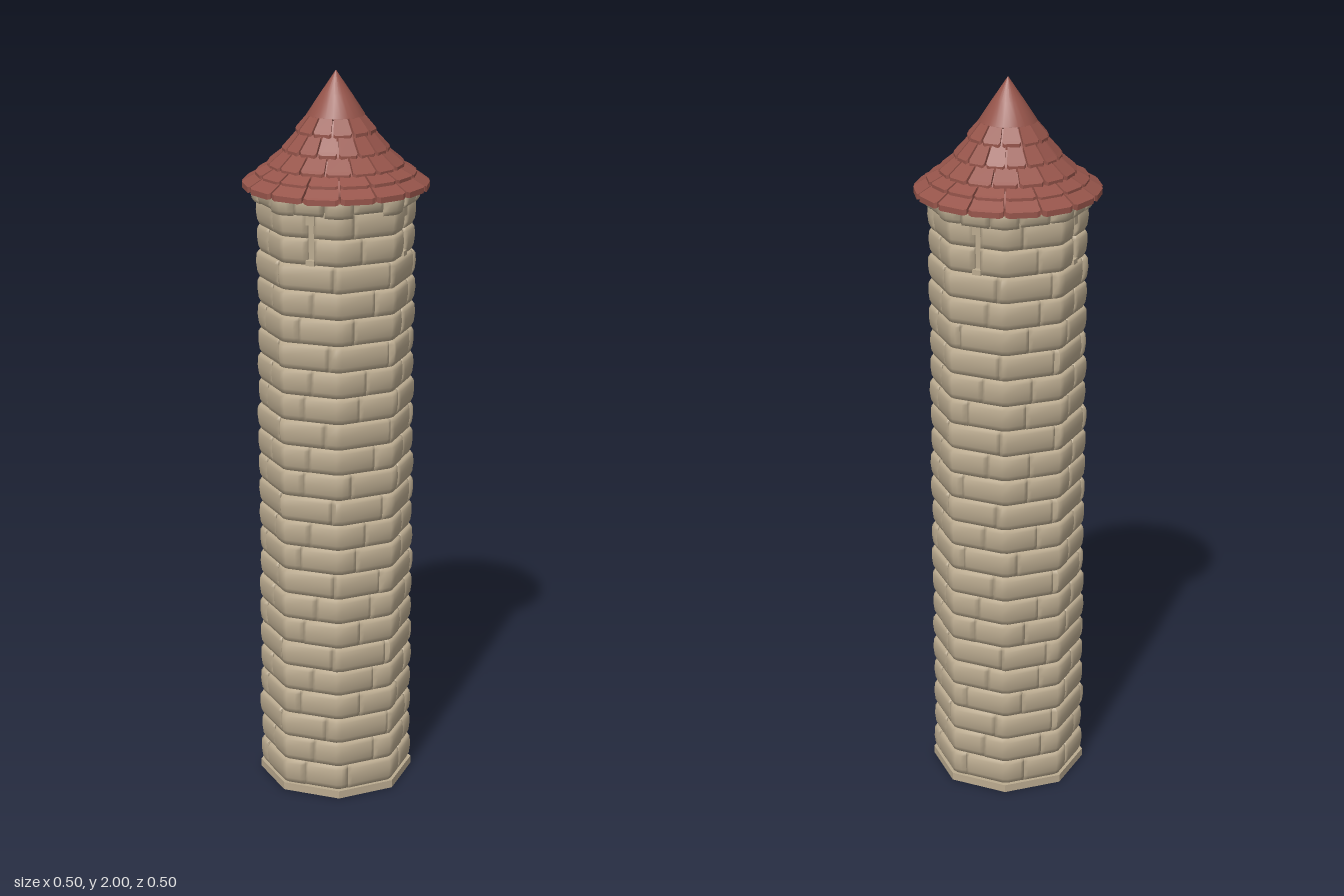
import * as THREE from 'three';
import { mergeGeometries } from 'three/addons/utils/BufferGeometryUtils.js';

const stone = new THREE.MeshStandardMaterial({ color: 0xbbab90 });
stone.name = 'sandstone';
const tile = new THREE.MeshStandardMaterial({ color: 0x97554b });
tile.name = 'red clay tile';

let seed = 7;
const rand = () => ((seed = (seed * 16807) % 2147483647) / 2147483647);
const jitter = (a) => (rand() * 2 - 1) * a;

// Point on an octagon: whole values of s are corners, flats face the axes
function octagon(s, apothem) {
  const k = Math.floor(s), t = s - k, R = apothem / Math.cos(Math.PI / 8);
  const a = (k + 0.5) * Math.PI / 4, b = a + Math.PI / 4;
  return [
    R * (Math.sin(a) * (1 - t) + Math.sin(b) * t),
    R * (Math.cos(a) * (1 - t) + Math.cos(b) * t),
  ];
}

// One bulging stone wrapped along the octagon from s0 to s1
function stoneBlock(s0, s1, y0, y1, apothem, depth) {
  const e = 0.07, h = y1 - y0, soft = 0.007;
  const cols = [[s0, depth], [s0, soft], [s0 + e, 0]];
  for (let c = Math.ceil(s0 + e + 0.01); c < s1 - e - 0.01; c++) {
    // a soft corner: two points beside the true corner
    if (c - 0.05 > s0 + e) cols.push([c - 0.05, 0]);
    if (c + 0.05 < s1 - e) cols.push([c + 0.05, 0]);
  }
  cols.push([s1 - e, 0], [s1, soft], [s1, depth]);
  const rows = [[0, depth], [0.01, soft + 0.003], [0.22, 0.003], [0.55, 0], [0.86, 0.001], [0.99, soft], [1, depth]];
  const pos = [], index = [], n = rows.length;
  const sag = jitter(0.003);
  cols.forEach(([s, iu], i) => {
    rows.forEach(([v, iv], j) => {
      const [x, z] = octagon(s, apothem - Math.max(iu, iv));
      const tilt = sag * Math.sin(Math.PI * v) * (i / (cols.length - 1) - 0.5);
      pos.push(x, y0 + h * v + tilt, z);
      if (i < cols.length - 1 && j < n - 1) {
        const a = i * n + j, b = a + n;
        index.push(a, b, b + 1, a, b + 1, a + 1);
      }
    });
  });
  const g = new THREE.BufferGeometry();
  g.setAttribute('position', new THREE.Float32BufferAttribute(pos, 3));
  g.setIndex(index);
  g.computeVertexNormals();
  return g;
}

// Flat-sided octagonal drum
function drum(apothem, y0, y1) {
  let g = new THREE.CylinderGeometry(1, 1, y1 - y0, 8, 1, false, Math.PI / 8);
  g.scale(apothem / Math.cos(Math.PI / 8), 1, apothem / Math.cos(Math.PI / 8));
  g.translate(0, (y0 + y1) / 2, 0);
  g = g.toNonIndexed();
  g.computeVertexNormals();
  return g;
}

// Flat roof tile: a box bent into a tapered slab, with its lower corners clipped
function roofTile(angle, n, [r0, y0], [r1, y1]) {
  let g = new THREE.BoxGeometry(1, 1, 1, 3, 1, 2);
  const p = g.attributes.position, lift = 0.007 + rand() * 0.003, thick = 0.015;
  for (let i = 0; i < p.count; i++) {
    const z = p.getZ(i), side = Math.sign(p.getX(i)), end = Math.abs(p.getX(i)) > 0.4;
    // t runs from the upper edge (0) to the lower edge (1)
    let t = z < -0.1 ? -0.12 : z > 0.1 ? 1 : 0.8;
    if (z > 0.1 && end) t = 0.86;
    const r = r1 + (r0 - r1) * t;
    const half = r * Math.tan(Math.PI / n) - 0.0028;
    const x = side * half * (end ? 1 : 0.78);
    const top = p.getY(i) > 0 ? 0 : -thick;
    p.setXYZ(i, x, y1 + (y0 - y1) * t + lift * Math.max(t, 0) + top, r);
  }
  g.rotateY(angle);
  g = g.toNonIndexed();
  g.computeVertexNormals();
  return g;
}

export function createModel() {
  const tower = new THREE.Group();
  tower.name = 'tower';
  const add = (name, geometry, material) => {
    const m = new THREE.Mesh(geometry, material);
    m.name = name;
    tower.add(m);
    return m;
  };

  // Core behind the joints, and the footing
  add('core', drum(0.18, 0.01, 1.7), stone);
  add('footing', drum(0.198, 0, 0.022), stone);

  // Stone courses; the top two leave an arrow slit on each axis face
  const courses = 23, base = 0.022, pitch = (1.662 - base) / courses;
  const blocks = [];
  for (let row = 0; row < courses; row++) {
    const y0 = base + row * pitch, y1 = y0 + pitch;
    const put = (a, b) => blocks.push(stoneBlock(a, b, y0, y1, 0.1985 + jitter(0.0018), 0.022));
    if (row >= courses - 2) {
      for (let k = 1; k < 9; k += 2) {
        const a = k + 0.56, b = k + 2.44, m = (a + b) / 2 + jitter(0.3);
        put(a, m);
        put(m, b);
      }
    } else {
      const cuts = [];
      for (let k = 0; k < 8; k++) cuts.push(k + 0.3 + 0.27 * (row % 3) + jitter(0.12));
      for (let k = 0; k < 8; k++) put(cuts[k], k < 7 ? cuts[k + 1] : cuts[0] + 8);
    }
  }
  add('stoneCourses', mergeGeometries(blocks), stone);

  // Lintel and sill closing each arrow slit
  for (let k = 0; k < 4; k++) {
    for (const [name, y, h] of [['slitLintel', 1.645, 0.036], ['slitSill', 1.526, 0.014]]) {
      const g = new THREE.BoxGeometry(0.024, h, 0.025);
      g.translate(0, y, 0.183);
      g.rotateY(k * Math.PI / 2);
      add(name, g, stone);
    }
  }

  // Ring of corbel stones under the eaves
  const corbels = [];
  for (let k = 0; k < 16; k++) {
    const a = k / 2 + 0.25;
    corbels.push(stoneBlock(a + 0.012, a + 0.488, 1.652 + jitter(0.006), 1.704, 0.213 + jitter(0.003), 0.035));
  }
  add('corbels', mergeGeometries(corbels), stone);

  // Flared roof: rings of radius and height from eaves to tip
  const rings = [[0.246, 1.699], [0.212, 1.726], [0.18, 1.75], [0.141, 1.79], [0.105, 1.838], [0.075, 1.882], [0.04, 1.939], [0, 2]];
  const under = rings.slice(0, 6).map(([r, y]) => new THREE.Vector2(r - 0.008, y - 0.005));
  under.unshift(new THREE.Vector2(0, 1.694));
  add('roofBase', new THREE.LatheGeometry(under, 16, Math.PI / 16), tile);

  const tiles = [];
  for (let row = 0; row < 5; row++) {
    const n = row < 4 ? 16 : 12;
    const shift = row === 2 || row === 4 ? 0 : 0.5;
    for (let k = 0; k < n; k++) {
      tiles.push(roofTile((k + shift) * 2 * Math.PI / n, n, rings[row], rings[row + 1]));
    }
  }
  add('roofTiles', mergeGeometries(tiles), tile);

  // Smooth stepped tip
  const tip = [[0.07, 1.878], [0.077, 1.884], [0.04, 1.941]];
  add('roofCollar', new THREE.LatheGeometry(tip.map(([r, y]) => new THREE.Vector2(r, y)), 24), tile);
  const cap = new THREE.ConeGeometry(0.043, 0.064, 24);
  cap.translate(0, 1.968, 0);
  add('roofCap', cap, tile);

  // Small red patches on the underside
  for (let k = 0; k < 4; k++) {
    const g = new THREE.CircleGeometry(0.028, 6);
    g.rotateX(Math.PI / 2);
    g.translate(0, -0.0005, 0.145);
    g.rotateY(k * Math.PI / 2);
    add('undersidePatch', g, tile);
  }
  return tower;
}
